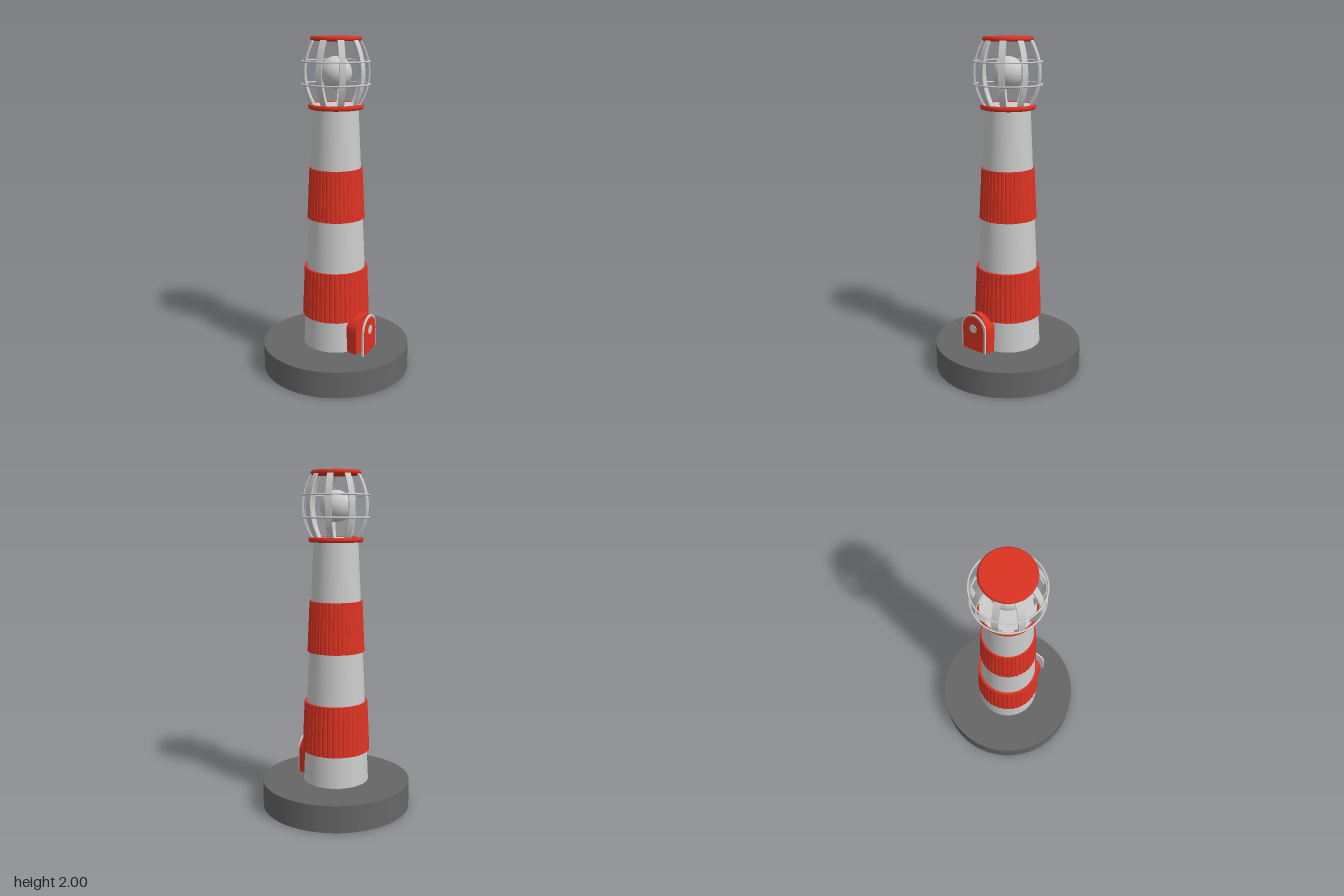
import * as THREE from 'three';

const mat = (color, extra = {}) => new THREE.MeshStandardMaterial({ color, ...extra });
const grey = mat(0xcccccc);
const red = mat(0xdd3322);
const redFlat = mat(0xdd3322, { flatShading: true });
const dark = mat(0x666666);

function add(parent, name, geometry, material, x = 0, y = 0, z = 0) {
  const mesh = new THREE.Mesh(geometry, material);
  mesh.name = name;
  mesh.position.set(x, y, z);
  parent.add(mesh);
  return mesh;
}

// Tapered drum standing between two heights
const drum = (parent, name, rBottom, rTop, y0, y1, material) =>
  add(parent, name, new THREE.CylinderGeometry(rTop, rBottom, y1 - y0, 64), material, 0, (y0 + y1) / 2, 0);

// Solid of revolution with bevelled rim, from r,y pairs
const lathe = (pairs) => {
  const g = new THREE.LatheGeometry(pairs.map(([r, y]) => new THREE.Vector2(r, y)), 64);
  return g;
};

// Planked band: every fourth column of vertices is pulled in to form a seam
function plankBand(rBottom, rTop, height) {
  const g = new THREE.CylinderGeometry(rTop, rBottom, height, 160, 1);
  const p = g.attributes.position;
  for (let i = 0; i < p.count; i++) {
    const x = p.getX(i), z = p.getZ(i);
    if (Math.hypot(x, z) < 0.01) continue;
    const column = Math.round((Math.atan2(x, z) / (2 * Math.PI)) * 160);
    const s = column % 4 === 0 ? 0.98 : 1;
    p.setXYZ(i, x * s, p.getY(i), z * s);
  }
  return g;
}

// Round-topped door outline standing on y = 0
function archShape(w, top, bottom = 0) {
  const s = new THREE.Shape();
  s.moveTo(-w, bottom);
  s.lineTo(w, bottom);
  s.lineTo(w, top - w);
  s.absarc(0, top - w, w, 0, Math.PI, false);
  s.lineTo(-w, bottom);
  return s;
}
const arch = (w, top, depth, bottom = 0) =>
  new THREE.ExtrudeGeometry(archShape(w, top, bottom), { depth, bevelEnabled: false, curveSegments: 24 });

export function createModel() {
  const model = new THREE.Group();
  model.name = 'lighthouse';

  // Base and tower
  drum(model, 'base', 0.447, 0.447, 0, 0.16, dark);
  drum(model, 'tower', 0.197, 0.13, 0.16, 1.61, grey);
  add(model, 'lowerBand', plankBand(0.203, 0.19, 0.3), redFlat, 0, 0.5, 0);
  add(model, 'upperBand', plankBand(0.17, 0.156, 0.3), redFlat, 0, 1.105, 0);

  // Gallery: grey floor inside a rounded red rim
  add(model, 'galleryRim', lathe([
    [0.12, 1.595], [0.15, 1.595], [0.157, 1.6], [0.16, 1.61], [0.157, 1.62], [0.152, 1.624], [0.148, 1.618],
  ]), red);
  drum(model, 'galleryFloor', 0.15, 0.15, 1.605, 1.619, grey);

  // Lantern cage: nine bowed flat ribs and two hoops
  const cage = new THREE.Group();
  cage.name = 'lanternCage';
  cage.position.y = 1.8;
  model.add(cage);
  const bow = (y) => 0.195 - 0.052 * (y / 0.18) ** 2;
  const outline = [];
  for (let i = 0; i <= 16; i++) {
    const y = -0.184 + 0.023 * i;
    outline.push(new THREE.Vector2(bow(y), y));
  }
  for (let i = 16; i >= 0; i--) {
    const y = -0.184 + 0.023 * i;
    outline.push(new THREE.Vector2(bow(y) - 0.009, y));
  }
  const ribGeometry = new THREE.ExtrudeGeometry(new THREE.Shape(outline), { depth: 0.036, bevelEnabled: false });
  ribGeometry.translate(0, 0, -0.018);
  for (let i = 0; i < 9; i++) {
    add(cage, 'rib', ribGeometry, grey).rotation.y = (i * 2 * Math.PI) / 9;
  }
  for (const y of [-0.065, 0.063]) {
    const hoop = add(cage, 'hoop', new THREE.TorusGeometry(0.194, 0.005, 8, 64), grey, 0, y, 0);
    hoop.rotation.x = Math.PI / 2;
  }
  add(cage, 'lamp', new THREE.SphereGeometry(0.092, 32, 20), grey);

  // Lid with softened rim
  add(model, 'lid', lathe([
    [0, 1.974], [0.136, 1.974], [0.143, 1.979], [0.145, 1.987], [0.143, 1.995], [0.137, 2],
  ]), red);
  drum(model, 'lidTop', 0.137, 0.137, 1.99, 2, red);

  // Porch on the left side, with the door standing ajar
  const porch = add(model, 'porch', arch(0.092, 0.23, 0.135), red, 0.1, 0.16, 0.008);
  porch.rotation.y = Math.PI / 2;

  const door = new THREE.Group();
  door.name = 'door';
  door.position.set(0.259, 0.16, 0.006);
  door.rotation.y = Math.PI / 2 + 0.22;
  model.add(door);
  add(door, 'doorLeaf', arch(0.092, 0.23, 0.01), grey, 0, 0, -0.005);
  add(door, 'doorPanel', arch(0.08, 0.218, 0.003, 0.002), red, 0, 0, 0.004);
  const porthole = add(door, 'porthole', new THREE.CylinderGeometry(0.027, 0.027, 0.018, 32), grey, 0, 0.14, 0);
  porthole.rotation.x = Math.PI / 2;

  return model;
}
